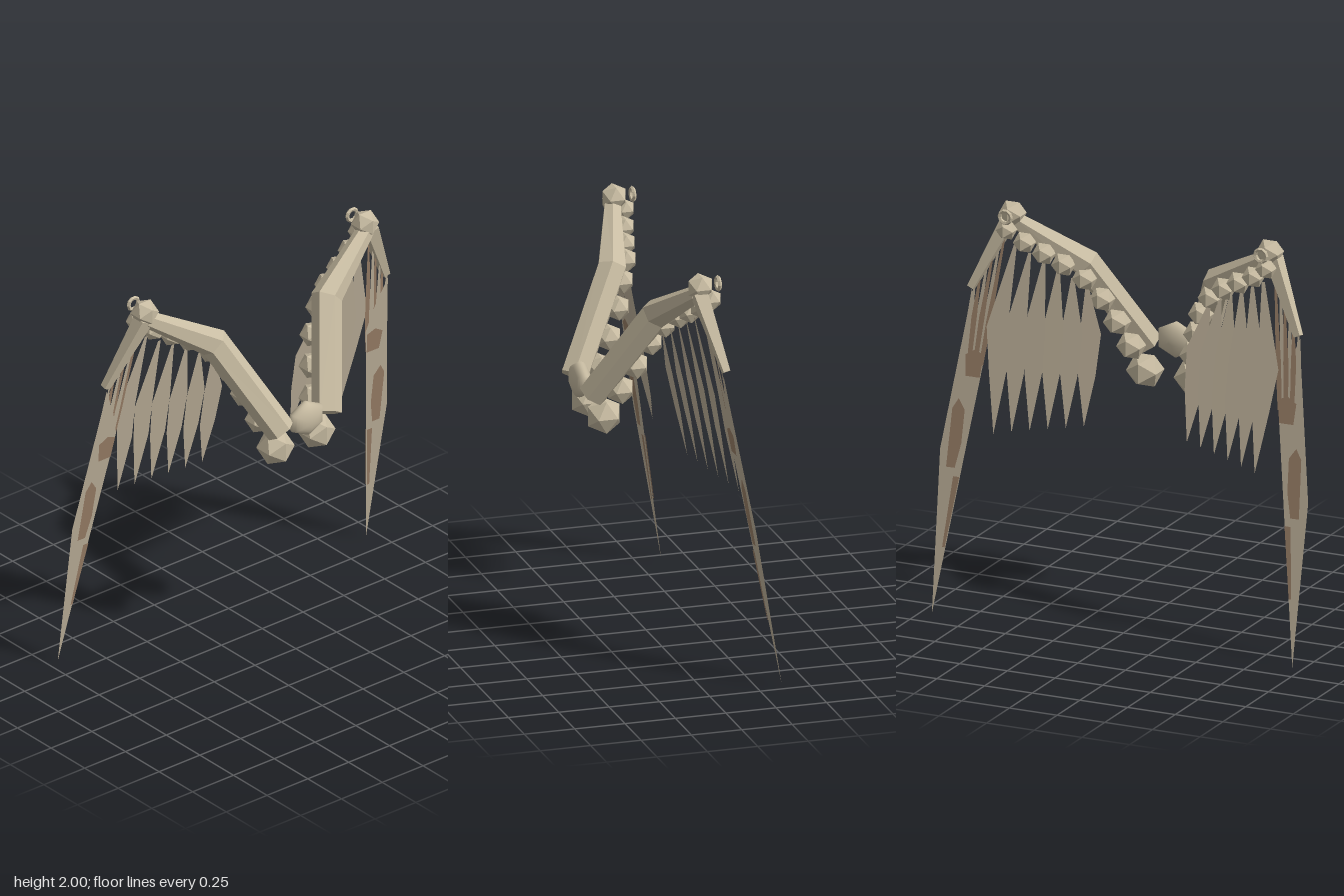
import * as THREE from 'three';

const V = (x, y, z) => new THREE.Vector3(x, y, z);
const lerp = THREE.MathUtils.lerp;

// Faceted beam along a path; b is a direction roughly across the path.
function beam(points, radii, sides, b) {
  const rings = points.map((p, i) => {
    const before = points[Math.max(i - 1, 0)], after = points[Math.min(i + 1, points.length - 1)];
    const t = after.clone().sub(p).normalize().add(p.clone().sub(before).normalize()).normalize();
    const n = b.clone().cross(t).normalize();
    const c = t.clone().cross(n).normalize();
    return Array.from({ length: sides }, (_, k) => {
      const a = (k + 0.5) / sides * Math.PI * 2;
      return p.clone().addScaledVector(n, Math.cos(a) * radii[i]).addScaledVector(c, Math.sin(a) * radii[i]);
    });
  });
  const pos = [];
  const tri = (...v) => v.forEach(q => pos.push(q.x, q.y, q.z));
  const last = points.length - 1;
  for (let k = 0; k < sides; k++) {
    const m = (k + 1) % sides;
    for (let i = 0; i < last; i++) {
      tri(rings[i][k], rings[i][m], rings[i + 1][m]);
      tri(rings[i][k], rings[i + 1][m], rings[i + 1][k]);
    }
    tri(points[0], rings[0][m], rings[0][k]);
    tri(points[last], rings[last][k], rings[last][m]);
  }
  const g = new THREE.BufferGeometry();
  g.setAttribute('position', new THREE.Float32BufferAttribute(pos, 3));
  g.computeVertexNormals();
  return g;
}

// Thin outline in x and y, leaned back by the rule z(y).
function plate(outline, zOf) {
  const g = new THREE.ShapeGeometry(new THREE.Shape(outline.map(p => new THREE.Vector2(...p))));
  const p = g.attributes.position;
  for (let i = 0; i < p.count; i++) p.setZ(i, zOf(p.getY(i)));
  g.computeVertexNormals();
  return g;
}

// Copy of a geometry on the other side of x = 0.
function mirrored(source) {
  const g = source.index ? source.toNonIndexed() : source.clone();
  const p = g.attributes.position;
  for (let i = 0; i < p.count; i += 3) {
    const v = [0, 2, 1].map(k => V().fromBufferAttribute(p, i + k));
    v.forEach((q, k) => p.setXYZ(i + k, -q.x, q.y, q.z));
  }
  g.computeVertexNormals();
  return g;
}

export function createModel() {
  const bone = new THREE.MeshStandardMaterial({ color: 0xc8bca2, flatShading: true });
  bone.name = 'bone';
  const gem = new THREE.MeshStandardMaterial({ color: 0xc8bca2 });
  gem.name = 'smooth bone';
  const vane = new THREE.MeshStandardMaterial({ color: 0xc0b39c, side: THREE.DoubleSide });
  vane.name = 'feather';
  const brown = new THREE.MeshStandardMaterial({ color: 0x9c8169, side: THREE.DoubleSide });
  brown.name = 'brown feather';

  const model = new THREE.Group();
  model.name = 'wings';
  const left = new THREE.Group(), right = new THREE.Group();
  left.name = 'leftWing';
  right.name = 'rightWing';
  model.add(left, right);
  const pair = (name, geometry, material) => {
    [[left, geometry], [right, mirrored(geometry)]].forEach(([group, g]) => {
      const mesh = new THREE.Mesh(g, material);
      mesh.name = name;
      group.add(mesh);
    });
  };

  // Clasp between the wings
  const clasp = new THREE.SphereGeometry(1, 6, 16, Math.PI / 2).rotateX(Math.PI / 2);
  clasp.scale(0.105, 0.09, 0.048).translate(0, 1.29, 0.328);
  const claspMesh = new THREE.Mesh(clasp, gem);
  claspMesh.name = 'clasp';
  model.add(claspMesh);

  // Bent upper arm and tapered forearm
  const start = V(0.14, 1.26, 0.31), elbow = V(0.345, 1.705, 0.06), wrist = V(0.67, 1.905, -0.045);
  const across = elbow.clone().sub(start).cross(wrist.clone().sub(elbow)).normalize();
  pair('upperArm', beam([start, elbow, wrist], [0.072, 0.075, 0.042], 6, across), bone);
  pair('forearm', beam([V(0.69, 1.91, -0.045), V(0.858, 1.565, -0.126)], [0.048, 0.024], 4, V(1, 0.45, 0)), bone);

  // Wrist knob with a small ring behind it
  const knob = (p, r) => new THREE.IcosahedronGeometry(r, 0).translate(p.x, p.y, p.z);
  pair('wristKnob', knob(V(0.675, 1.938, -0.055), 0.068), bone);
  pair('wristRing', new THREE.TorusGeometry(0.03, 0.01, 5, 10).translate(0.67, 1.945, -0.145), bone);

  // Row of knuckles along the back of the arm
  const knuckles = [
    [0.125, 1.145, 0.25, 0.092], [0.165, 1.28, 0.18, 0.072], [0.21, 1.41, 0.12, 0.068],
    [0.26, 1.535, 0.06, 0.064], [0.33, 1.64, 0.015, 0.062], [0.42, 1.71, -0.03, 0.06],
    [0.51, 1.76, -0.055, 0.058], [0.6, 1.81, -0.08, 0.056], [0.68, 1.87, -0.11, 0.052],
  ];
  knuckles.forEach(([x, y, z, r]) => pair('knuckle', knob(V(x, y, z), r), bone));

  // Short feathers under the arm
  for (let i = 0; i < 6; i++) {
    const t = i / 5;
    const root = V(lerp(0.32, 0.65, t), lerp(1.6, 1.79, t), lerp(0.02, -0.075, t));
    const tip = V(lerp(0.27, 0.685, t), lerp(0.95, 0.89, t), lerp(-0.12, -0.245, t));
    const mid = lerp(0.28, 0.71, t), low = lerp(0.28, 0.69, t);
    const zOf = y => lerp(tip.z, root.z, (y - tip.y) / (root.y - tip.y));
    pair('shortFeather', plate([
      [root.x - 0.008, root.y], [mid - 0.055, 1.39], [low - 0.046, 1.19], [tip.x, tip.y],
      [low + 0.046, 1.19], [mid + 0.055, 1.39], [root.x + 0.008, root.y],
    ], zOf), vane);
  }

  // Long outer feather, with a fan of quill feathers joining it to the forearm
  const blade = y => -0.375 + 0.17 * y;
  pair('longFeather', plate([
    [0.765, 1.27], [0.945, 0], [0.965, 0.78], [0.876, 1.42], [0.862, 1.55], [0.8, 1.4],
  ], blade), vane);
  for (let i = 0; i < 6; i++) {
    const t = i / 5;
    const x = lerp(0.705, 0.85, t), y = lerp(1.86, 1.57, t), foot = lerp(0.782, 0.862, t);
    const lift = 0.003 * (i % 2 ? 1 : -1);
    pair('quillFeather', plate([
      [x - 0.004, y], [lerp(x, foot, 0.7) - 0.015, 1.42], [foot - 0.01, 1.2],
      [foot + 0.012, 1.2], [lerp(x, foot, 0.7) + 0.013, 1.42], [x + 0.004, y],
    ], q => blade(q) + lift), i % 2 ? vane : brown);
  }

  // Brown bands on both faces of the long feather
  const bands = [
    [[0.772, 1.25], [0.785, 1.14], [0.86, 1.14], [0.868, 1.24], [0.82, 1.27]],
    [[0.85, 0.98], [0.855, 0.82], [0.88, 0.7], [0.925, 0.7], [0.915, 0.98], [0.885, 1.03]],
    [[0.853, 0.66], [0.902, 0.32], [0.915, 0.32], [0.885, 0.66]],
  ];
  bands.forEach(outline => [-0.005, 0.005].forEach(lift =>
    pair('featherBand', plate(outline, y => blade(y) + lift), brown)));

  return model;
}
